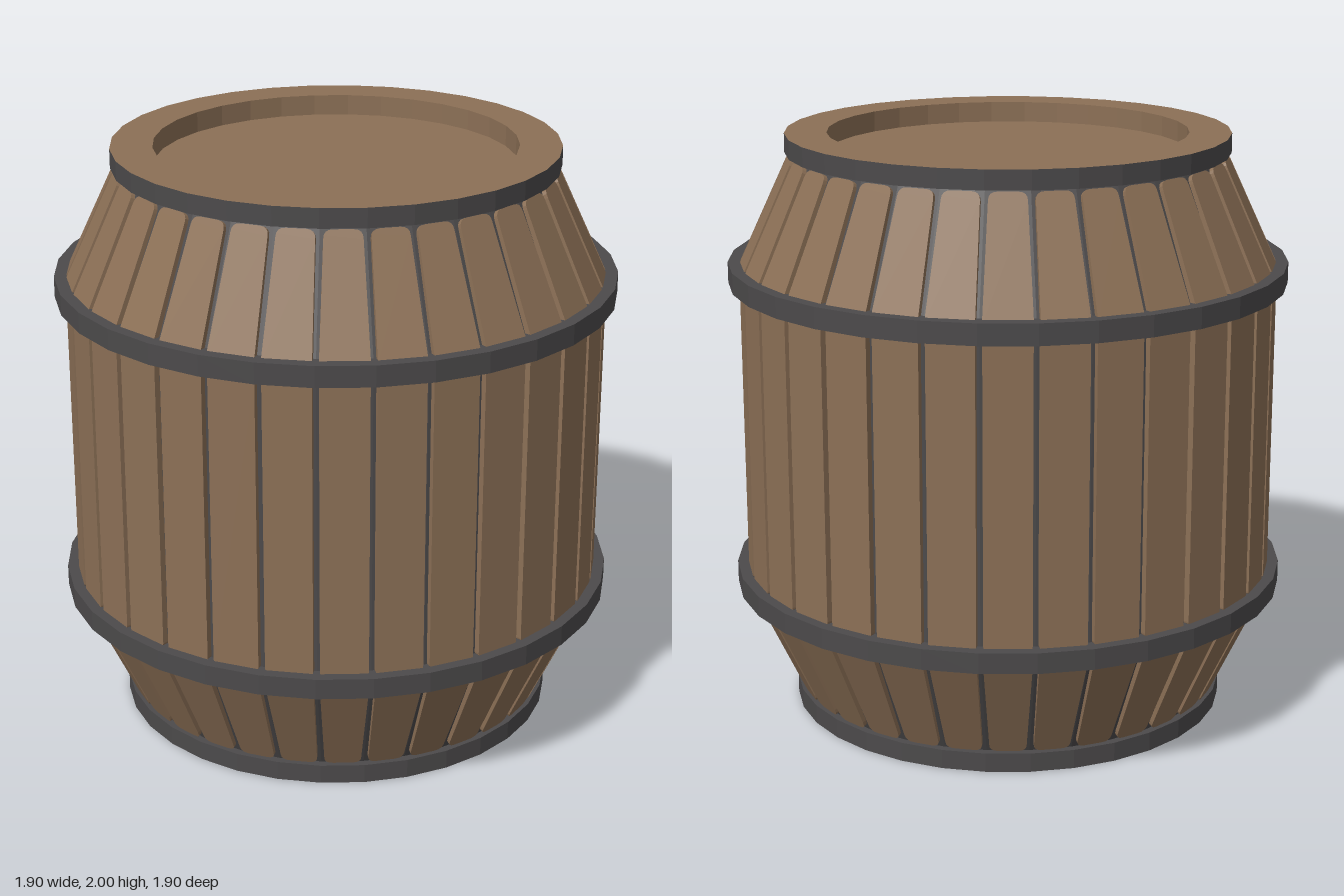
import * as THREE from 'three';
import { mergeGeometries } from 'three/addons/utils/BufferGeometryUtils.js';

const SIDES = 32;
const HALF = Math.PI / SIDES;

export function createModel() {
  const group = new THREE.Group();
  group.name = 'barrel';
  const wood = new THREE.MeshStandardMaterial({ color: 0x8c7056 });
  wood.name = 'wood';
  const iron = new THREE.MeshStandardMaterial({ color: 0x4c4a4b });
  iron.name = 'dark iron';

  const add = (name, geometry, material) => {
    const mesh = new THREE.Mesh(geometry, material);
    mesh.name = name;
    group.add(mesh);
  };

  // Faceted solid of revolution from [radius, height] points
  const turned = (points) => {
    const lathe = new THREE.LatheGeometry(points.map(([r, y]) => new THREE.Vector2(r, y)), SIDES);
    const flat = lathe.toNonIndexed();
    flat.computeVertexNormals();
    return flat;
  };

  // One ring of planks between two radii and heights, with rounded ends
  const staveRing = (r0, y0, r1, y1, round0, round1) => {
    const gap = 0.022, depth = 0.025;
    const w0 = r0 * Math.sin(HALF) - gap / 2;
    const w1 = r1 * Math.sin(HALF) - gap / 2;
    const a0 = r0 * Math.cos(HALF), a1 = r1 * Math.cos(HALF);
    const length = Math.hypot(a1 - a0, y1 - y0);
    const shape = new THREE.Shape();
    shape.moveTo(-w0 + round0, 0);
    shape.lineTo(w0 - round0, 0);
    shape.quadraticCurveTo(w0, 0, w0, round0);
    shape.lineTo(w1, length - round1);
    shape.quadraticCurveTo(w1, length, w1 - round1, length);
    shape.lineTo(-w1 + round1, length);
    shape.quadraticCurveTo(-w1, length, -w1, length - round1);
    shape.lineTo(-w0, round0);
    shape.quadraticCurveTo(-w0, 0, -w0 + round0, 0);
    const stave = new THREE.ExtrudeGeometry(shape, { depth, bevelEnabled: false, curveSegments: 4 });
    stave.translate(0, 0, -depth);
    stave.rotateX(Math.atan2(a1 - a0, y1 - y0));
    stave.translate(0, y0, a0);
    const ring = [];
    for (let i = 0; i < SIDES; i++) ring.push(stave.clone().rotateY((2 * i + 1) * HALF));
    return mergeGeometries(ring);
  };

  // Dark core seen in the grooves, with the two end bands
  add('coreAndEndBands', turned([
    [0.748, 0], [0.748, 0.065], [0.72, 0.065], [0.89, 0.44],
    [0.89, 1.56], [0.72, 1.935], [0.748, 1.935], [0.748, 2],
  ]), iron);

  // Planks
  add('lowerStaves', staveRing(0.738, 0.07, 0.911, 0.44, 0.03, 0.012), wood);
  add('middleStaves', staveRing(0.911, 0.495, 0.911, 1.5, 0.012, 0.012), wood);
  add('upperStaves', staveRing(0.911, 1.56, 0.738, 1.93, 0.012, 0.03), wood);

  // Hoops
  for (const [name, y0, y1] of [['lowerHoop', 0.43, 0.5], ['upperHoop', 1.497, 1.568]]) {
    add(name, turned([[0.88, y0], [0.948, y0], [0.948, y1], [0.88, y1]]), iron);
  }

  // Recessed lids
  add('topLid', turned([[0.748, 2], [0.607, 2], [0.607, 1.93], [0, 1.93]]), wood);
  add('bottomLid', turned([[0, 0.07], [0.607, 0.07], [0.607, 0], [0.748, 0]]), wood);

  return group;
}
